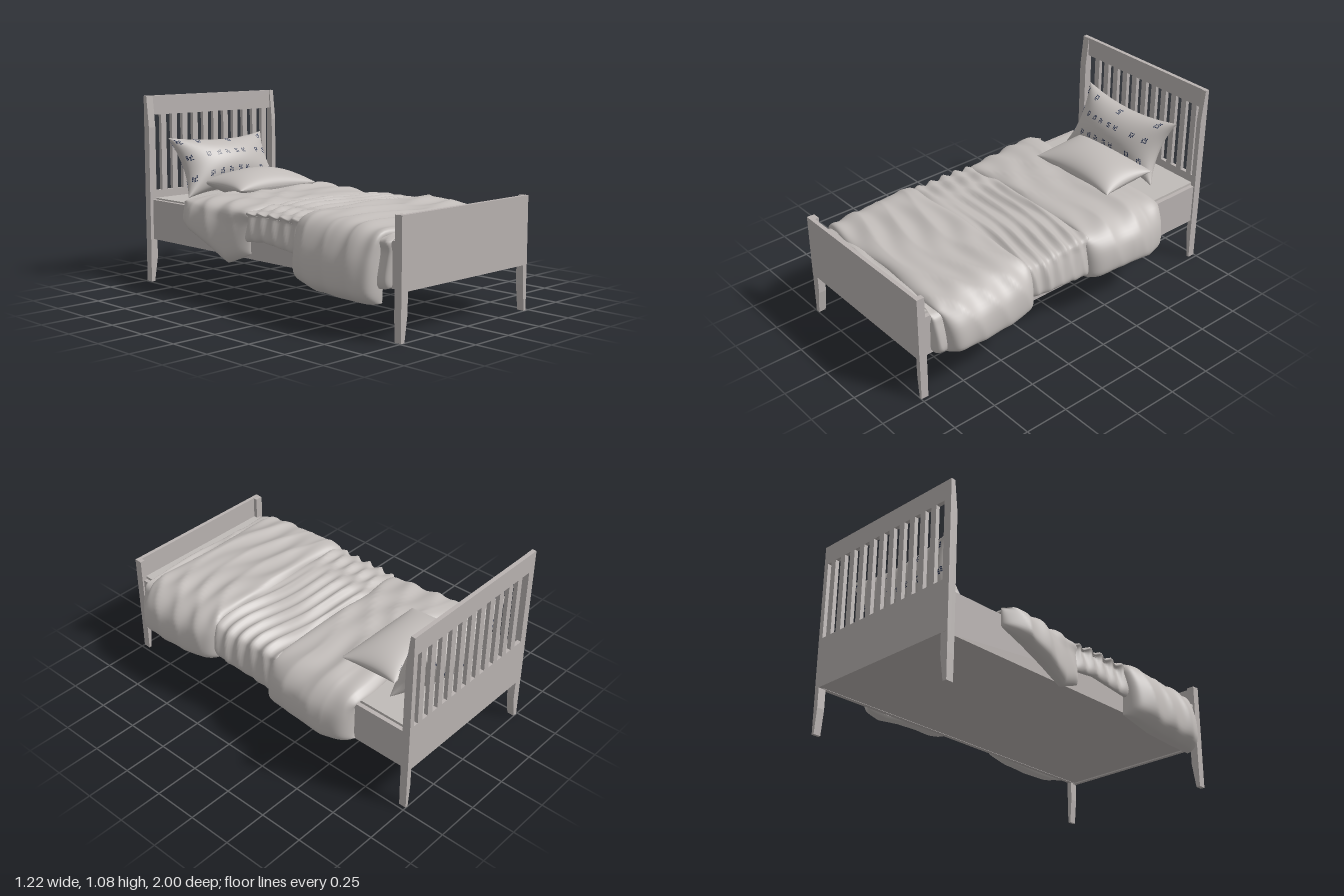
import * as THREE from 'three';

const frameMat = new THREE.MeshStandardMaterial({ color: 0xb9b3b1 });
frameMat.name = 'painted wood';
const fabricMat = new THREE.MeshStandardMaterial({ color: 0xc0bbb8 });
fabricMat.name = 'linen';
const navyMat = new THREE.MeshStandardMaterial({ color: 0x2b3550, side: THREE.DoubleSide });
navyMat.name = 'navy print';

function add(parent, name, geometry, material) {
  const mesh = new THREE.Mesh(geometry, material);
  mesh.name = name;
  parent.add(mesh);
  return mesh;
}

// Box given by its limits
function block(parent, name, mat, x0, x1, y0, y1, z0, z1) {
  const mesh = add(parent, name, new THREE.BoxGeometry(x1 - x0, y1 - y0, z1 - z0), mat);
  mesh.position.set((x0 + x1) / 2, (y0 + y1) / 2, (z0 + z1) / 2);
}

// Square post through levels [y, x0, x1, z0, z1]
function post(parent, name, levels) {
  const n = levels.length - 1;
  const geo = new THREE.BoxGeometry(1, 1, 1, 1, n, 1).toNonIndexed();
  const p = geo.attributes.position;
  for (let i = 0; i < p.count; i++) {
    const [y, x0, x1, z0, z1] = levels[Math.round((p.getY(i) + 0.5) * n)];
    p.setXYZ(i, p.getX(i) < 0 ? x0 : x1, y, p.getZ(i) < 0 ? z0 : z1);
  }
  geo.computeVertexNormals();
  add(parent, name, geo, frameMat);
}

function gridIndex(rows, cols, start, flip, out) {
  for (let i = 0; i < rows; i++) for (let j = 0; j < cols; j++) {
    const a = start + i * (cols + 1) + j, b = a + 1, c = b + cols + 1, d = a + cols + 1;
    out.push(...(flip ? [a, c, b, a, d, c] : [a, b, c, a, c, d]));
  }
}

function meshGeometry(pos, idx) {
  const geo = new THREE.BufferGeometry();
  geo.setAttribute('position', new THREE.Float32BufferAttribute(pos, 3));
  if (idx) geo.setIndex(idx);
  geo.computeVertexNormals();
  return geo;
}

// Pinched cushion surface, u and v from -1 to 1, side +1 front or -1 back
function cushionPoint({ w, h, t, c, d }, u, v, side) {
  return [
    w * u * (1 - c * (1 - v * v)),
    h * v * (1 - d * (1 - u * u)),
    side * t * Math.sqrt(Math.max(0, (1 - u * u) * (1 - v * v))),
  ];
}

function cushionGeometry(spec) {
  const n = 32, pos = [], idx = [];
  const ease = (i) => Math.sin((i / n - 0.5) * Math.PI);
  for (const side of [1, -1]) {
    const start = pos.length / 3;
    for (let i = 0; i <= n; i++) for (let j = 0; j <= n; j++) pos.push(...cushionPoint(spec, ease(j), ease(i), side));
    gridIndex(n, n, start, side < 0, idx);
  }
  return meshGeometry(pos, idx);
}

// Small woven dashes laid just above the cushion surface
function printGeometry(spec) {
  const pos = [];
  const columns = [-0.95, -0.62, -0.41, -0.22, 0.0, 0.17, 0.55, 0.8];
  const patch = (u, v, du, dv, side) => {
    const q = [[0, 0], [1, 0], [1, 1], [0, 1]].map(([a, b]) => {
      const p = cushionPoint(spec, u + a * du, v + b * dv, side);
      p[2] += side * 0.004;
      return p;
    });
    for (const k of side > 0 ? [0, 1, 2, 0, 2, 3] : [0, 2, 1, 0, 3, 2]) pos.push(...q[k]);
  };
  for (const side of [1, -1]) for (const row of [-0.5, 0.2, 0.8]) columns.forEach((col, k) => {
    if (row === 0.8 && k > 1 && k < 7 && k !== 4) return;
    for (let i = 0; i < 3; i++) for (let j = 0; j < 4; j++) {
      if ((i * 2 + j + k) % 5 === 0) continue;
      patch(col + (i - 1) * 0.031, row + (j - 2) * 0.05, 0.021, 0.038, side);
    }
  });
  return meshGeometry(pos);
}

// Value at t in an evenly spaced list
function along(list, t) {
  const f = t * (list.length - 1), i = Math.min(Math.floor(f), list.length - 2);
  return THREE.MathUtils.lerp(list[i], list[i + 1], f - i);
}

// One puffy stretch of the duvet: a lining hugging the bed and a bulging, creased outside
function duvetGeometry(o) {
  const n = 72, m = 72, pos = [], idx = [];
  const curve = (pts) => new THREE.SplineCurve(pts.map(([x, y]) => new THREE.Vector2(x, y)));
  for (let i = 0; i <= n; i++) {
    const t = 0.5 - 0.5 * Math.cos((Math.PI * i) / n), z = THREE.MathUtils.lerp(o.z0, o.z1, t);
    const L = along(o.left, t), R = along(o.right, t), yL = along(o.hemL, t), yR = along(o.hemR, t), H = along(o.top, t);
    const mL = (yL + H) / 2 + 0.04, mR = (yR + H) / 2 + 0.04;
    const outer = curve([
      [-0.49, yL], [-(L + 0.5) / 2, yL + 0.005], [-L, yL * 0.7 + mL * 0.3], [-L + 0.02, mL], [-0.49, H - 0.02], [-0.3, H],
      [0, H], [0.3, H], [0.47, H - 0.02], [R - 0.02, mR], [R, yR * 0.7 + mR * 0.3], [(R + 0.5) / 2, yR + 0.005], [0.482, yR]]);
    const inner = curve([
      [-0.482, yL + 0.01], [-0.482, yL + 0.02], [-0.482, yL * 0.7 + mL * 0.3], [-0.482, mL], [-0.475, 0.485], [-0.3, 0.488],
      [0, 0.488], [0.3, 0.488], [0.467, 0.485], [0.474, mR], [0.474, yR * 0.7 + mR * 0.3], [0.474, yR + 0.02], [0.474, yR + 0.01]]);
    const k = Math.sqrt(Math.max(0, 1 - Math.abs(2 * t - 1) ** 9));
    const ring = [], lining = [];
    for (let j = 0; j <= m; j++) {
      const s = j / m, p = inner.getPoint(s), q = outer.getPoint(s);
      const x = q.x, dir = q.clone().sub(p).normalize();
      // Creases wander across the bed, finer ones on top of broad ones
      const a = Math.sin(z * o.freq + 2.2 * Math.sin(x * 4 + o.seed) + s * 9);
      const b = Math.sin(z * o.freq * 2.1 - x * 7 + 1.5 * Math.sin(x * 9 + z * 6) + o.seed);
      const crease = o.amp * ((1 - Math.abs(a)) * 1.3 - 0.5 + 0.45 * b);
      q.addScaledVector(dir, crease * Math.sin(Math.PI * Math.min(1, Math.max(0, s)))).sub(p).multiplyScalar(k).add(p);
      const zz = z + (1 - t) * (o.notch || 0) * Math.exp(-(((x + 0.2) / 0.14) ** 2)) + 0.012 * Math.sin(x * 11 + o.seed) * (1 - k * 0.7);
      ring.push(q.x, q.y, zz);
      lining.unshift([p.x, p.y, zz]);
    }
    pos.push(...ring, ...lining.flat(), ring[0], ring[1], ring[2]);
  }
  gridIndex(n, 2 * m + 2, 0, true, idx);
  return meshGeometry(pos, idx);
}

export function createModel() {
  const bed = new THREE.Group();
  bed.name = 'bed';
  const XL = -0.492, XR = 0.479, IL = -0.447, IR = 0.45;

  // Headboard with a row of slots between the slats
  const board = new THREE.Shape();
  board.moveTo(XL, 0.25).lineTo(XR, 0.25).lineTo(XR, 1.08).lineTo(XL, 1.08).closePath();
  for (let i = 0; i < 12; i++) {
    const c = -0.37 + 0.0773 * i;
    const x0 = Math.max(IL, c - 0.0593), x1 = Math.min(IR, c - 0.018);
    const slot = new THREE.Path();
    slot.moveTo(i ? x0 : IL, 0.53).lineTo(i ? x0 : IL, 0.97).lineTo(x1, 0.97).lineTo(x1, 0.53).closePath();
    board.holes.push(slot);
  }
  const boardGeo = new THREE.ExtrudeGeometry(board, { depth: 0.023, bevelEnabled: false });
  add(bed, 'headboard', boardGeo, frameMat).position.z = -1;

  // Posts with tapered feet; head posts thin toward the top
  const sides = [['right', XL, IL, XL, -0.468], ['left', IR, XR, 0.463, XR]];
  for (const [side, x0, x1, f0, f1] of sides) {
    post(bed, side + 'HeadPost', [
      [0, f0, f1, -0.999, -0.957], [0.14, x0, x1, -0.999, -0.955],
      [0.9, x0, x1, -0.999, -0.955], [1.079, x0, x1, -0.999, -0.975]]);
    post(bed, side + 'FootPost', [
      [0, f0, f1, 0.957, 0.999], [0.14, x0, x1, 0.955, 0.999], [0.609, x0, x1, 0.955, 0.999]]);
  }
  block(bed, 'footboard', frameMat, XL, XR, 0.245, 0.61, 0.978, 1);

  // Rails, base and mattress
  block(bed, 'rightRail', frameMat, -0.472, -0.448, 0.25, 0.48, -0.975, 0.978);
  block(bed, 'leftRail', frameMat, 0.445, 0.469, 0.25, 0.48, -0.975, 0.978);
  block(bed, 'base', frameMat, -0.45, 0.447, 0.252, 0.44, -0.975, 0.978);
  block(bed, 'mattress', fabricMat, -0.44, 0.438, 0.44, 0.487, -0.972, 0.972);

  // Duvet in three overlapping stretches from head to foot
  const duvet = new THREE.Group();
  duvet.name = 'duvet';
  bed.add(duvet);
  add(duvet, 'duvetHeadFold', duvetGeometry({
    z0: -0.65, z1: -0.09, left: [0.52, 0.57, 0.57, 0.55, 0.52], right: [0.56, 0.595, 0.6, 0.59, 0.57],
    hemL: [0.4, 0.35, 0.29, 0.22, 0.27], hemR: [0.25, 0.24, 0.26, 0.26, 0.25],
    top: [0.53, 0.555, 0.545, 0.54, 0.535], amp: 0.009, freq: 17, seed: 0.6, notch: 0.09,
  }), fabricMat);
  add(duvet, 'duvetMiddle', duvetGeometry({
    z0: -0.14, z1: 0.38, left: [0.51, 0.515, 0.51, 0.52], right: [0.525, 0.53, 0.55, 0.53],
    hemL: [0.34, 0.36, 0.34, 0.32], hemR: [0.27, 0.29, 0.31, 0.33],
    top: [0.52, 0.53, 0.53, 0.54], amp: 0.014, freq: 36, seed: 2.1,
  }), fabricMat);
  add(duvet, 'duvetFootFold', duvetGeometry({
    z0: 0.31, z1: 0.88, left: [0.59, 0.605, 0.605, 0.6], right: [0.585, 0.6, 0.6, 0.595],
    hemL: [0.22, 0.18, 0.17, 0.165], hemR: [0.28, 0.255, 0.245, 0.25],
    top: [0.57, 0.55, 0.54, 0.535], amp: 0.011, freq: 20, seed: 4.3,
  }), fabricMat);
  add(duvet, 'duvetHem', duvetGeometry({
    z0: 0.78, z1: 0.92, left: [0.52, 0.52], right: [0.53, 0.53],
    hemL: [0.24, 0.25], hemR: [0.26, 0.26], top: [0.51, 0.505], amp: 0.008, freq: 30, seed: 1,
  }), fabricMat);

  // Printed pillow leaning on the headboard
  const backSpec = { w: 0.353, h: 0.19, t: 0.128, c: 0.15, d: 0.22 };
  const backPillow = new THREE.Group();
  backPillow.name = 'printedPillow';
  backPillow.position.set(-0.022, 0.667, -0.84);
  backPillow.rotation.x = -0.49;
  add(backPillow, 'printedPillowBody', cushionGeometry(backSpec), fabricMat);
  add(backPillow, 'printedPillowDashes', printGeometry(backSpec), navyMat);
  bed.add(backPillow);

  // Plain pillow lying in front
  const front = add(bed, 'plainPillow', cushionGeometry({ w: 0.29, h: 0.175, t: 0.085, c: 0.06, d: 0.1 }), fabricMat);
  front.position.set(0.025, 0.573, -0.59);
  front.rotation.x = -Math.PI / 2 + 0.06;

  return bed;
}
